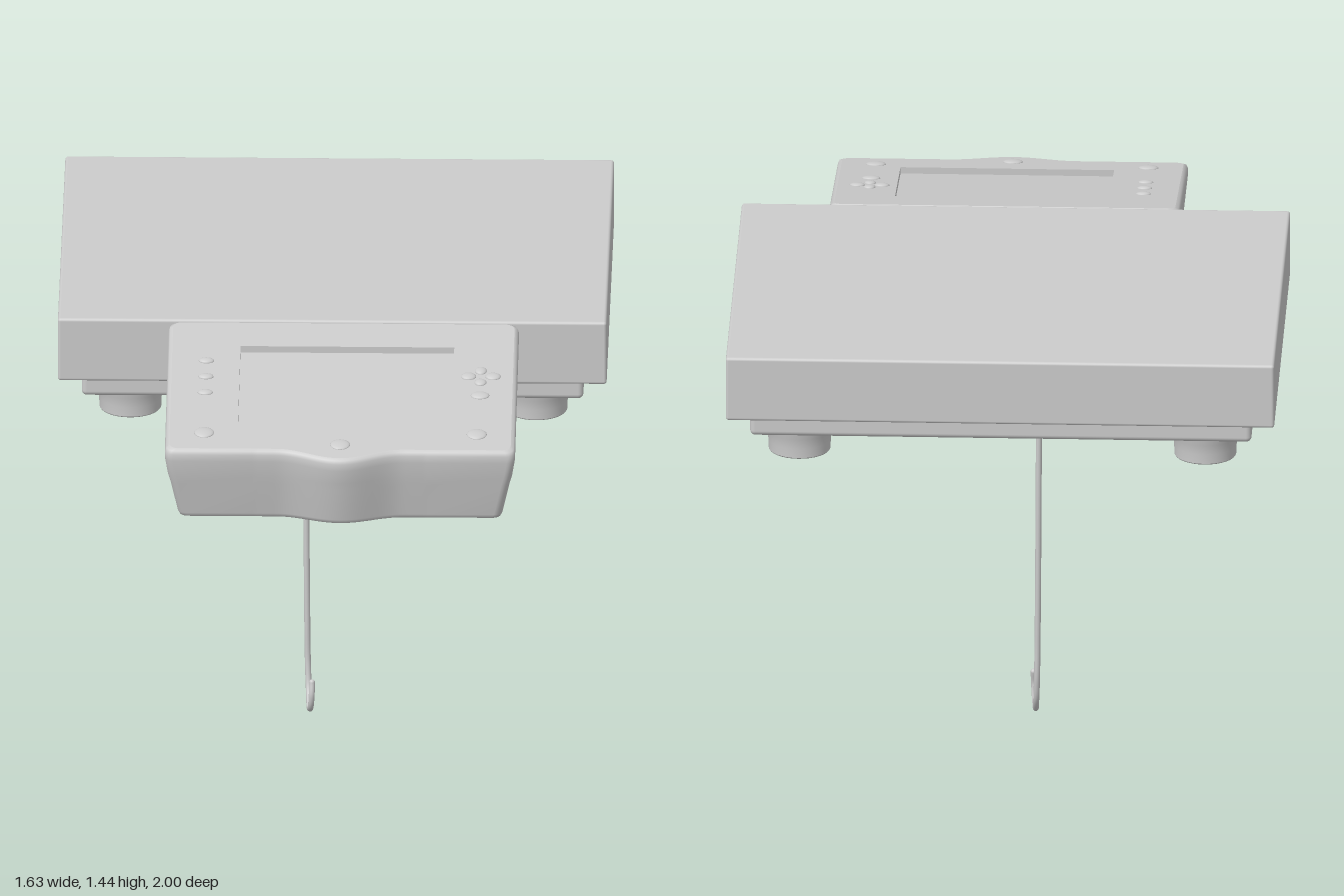
import * as THREE from 'three';
import { RoundedBoxGeometry } from 'three/addons/geometries/RoundedBoxGeometry.js';

const grey = new THREE.MeshStandardMaterial({ color: 0xcccccc });
const greyDouble = new THREE.MeshStandardMaterial({ color: 0xcccccc, side: THREE.DoubleSide });

function add(parent, name, geometry, material = grey) {
  const mesh = new THREE.Mesh(geometry, material);
  mesh.name = name;
  parent.add(mesh);
  return mesh;
}

// Box given by its limits on each axis
function slab(parent, name, [x0, x1], [y0, y1], [z0, z1], radius) {
  const mesh = add(parent, name, new RoundedBoxGeometry(x1 - x0, y1 - y0, z1 - z0, 3, radius));
  mesh.position.set((x0 + x1) / 2, (y0 + y1) / 2, (z0 + z1) / 2);
}

// Console limits and its sloping top plane
const LEFT = -0.485, RIGHT = 0.555, BACK = 0.255, FRONT = 0.947, MID = 0.035;
const SLOPE = 0.18;
const topY = (z) => 1.437 - SLOPE * (z - BACK);

// Console outline seen from above, counter-clockwise, as (x, -z)
function outline(inset) {
  const r = 0.025, pts = [];
  const x0 = LEFT + inset, x1 = RIGHT - inset, s0 = -FRONT + inset, s1 = -BACK - inset * 0.4;
  const corner = (cx, cy, start) => {
    for (let i = 0; i <= 5; i++) {
      const a = start + (i / 5) * Math.PI / 2;
      pts.push(new THREE.Vector2(cx + r * Math.cos(a), cy + r * Math.sin(a)));
    }
  };
  corner(x0 + r, s0 + r, Math.PI);
  // Wavy front edge with a central bulge
  for (let i = 0; i <= 32; i++) {
    const d = -0.26 + (i / 32) * 0.52;
    const bulge = Math.abs(d) < 0.19 ? 0.024 * (1 + Math.cos(Math.PI * d / 0.19)) : 0;
    pts.push(new THREE.Vector2(MID + d, s0 - bulge));
  }
  corner(x1 - r, s0 + r, -Math.PI / 2);
  corner(x1 - r, s1 - r, 0);
  corner(x0 + r, s1 - r, Math.PI / 2);
  return pts;
}

// Side walls lofted through outlines of varying inset
function consoleWalls() {
  const levels = [
    [0.054, () => 1.08], [0.044, () => 1.084], [0.038, () => 1.096],
    [0.016, () => 1.2], [0.009, () => 1.225],
    [0, (z) => topY(z) - 0.035], [0, (z) => topY(z) - 0.014],
    [0.004, (z) => topY(z) - 0.004], [0.013, topY],
  ];
  const position = [], index = [];
  const n = outline(0).length;
  levels.forEach(([inset, height], k) => {
    outline(inset).forEach((p, i) => {
      position.push(p.x, height(-p.y), -p.y);
      if (k === levels.length - 1) return;
      const a = k * n + i, b = k * n + (i + 1) % n;
      index.push(a, b, b + n, a, b + n, a + n);
    });
  });
  const g = new THREE.BufferGeometry();
  g.setAttribute('position', new THREE.Float32BufferAttribute(position, 3));
  g.setIndex(index);
  g.computeVertexNormals();
  return g;
}

// Lay a flat shape onto the sloping top plane, lowered by a depth
function onSlope(geometry, depth = 0) {
  geometry.rotateX(-Math.PI / 2);
  const p = geometry.attributes.position;
  for (let i = 0; i < p.count; i++) p.setY(i, topY(p.getZ(i)) - depth);
  geometry.computeVertexNormals();
  return geometry;
}

function buildConsole() {
  const group = new THREE.Group();
  group.name = 'console';
  add(group, 'consoleWalls', consoleWalls());
  add(group, 'consoleBottom', new THREE.ShapeGeometry(new THREE.Shape(outline(0.054)))
    .rotateX(-Math.PI / 2).translate(0, 1.08, 0), greyDouble);

  // Top panel with the display opening
  const opening = [[-0.27, -0.81], [0.365, -0.81], [0.365, -0.385], [-0.27, -0.385]]
    .map(([x, y]) => new THREE.Vector2(x, y));
  const panel = new THREE.Shape(outline(0.013));
  panel.holes.push(new THREE.Path([...opening].reverse()));
  add(group, 'topPanel', onSlope(new THREE.ShapeGeometry(panel)));

  // Recessed display
  const depth = 0.02;
  add(group, 'display', onSlope(new THREE.ShapeGeometry(new THREE.Shape(opening)), depth));
  const rim = [];
  opening.forEach((a, i) => {
    const b = opening[(i + 1) % 4];
    const A = [a.x, topY(-a.y), -a.y], B = [b.x, topY(-b.y), -b.y];
    const C = [B[0], B[1] - depth, B[2]], D = [A[0], A[1] - depth, A[2]];
    rim.push(...A, ...B, ...C, ...A, ...C, ...D);
  });
  const rimGeometry = new THREE.BufferGeometry();
  rimGeometry.setAttribute('position', new THREE.Float32BufferAttribute(rim, 3));
  rimGeometry.computeVertexNormals();
  add(group, 'displayRim', rimGeometry, greyDouble);

  // Domed buttons: x, z, half width, half depth
  const buttons = [
    [-0.37, 0.465, 0.023, 0.015], [-0.37, 0.55, 0.023, 0.015], [-0.37, 0.635, 0.023, 0.015],
    [-0.37, 0.85, 0.03, 0.028], [MID, 0.91, 0.03, 0.028], [0.44, 0.85, 0.03, 0.028],
    [0.41, 0.54, 0.023, 0.019], [0.483, 0.54, 0.023, 0.019],
    [0.446, 0.51, 0.018, 0.02], [0.446, 0.572, 0.018, 0.018], [0.446, 0.642, 0.028, 0.02],
  ];
  const dome = new THREE.SphereGeometry(1, 20, 6, 0, Math.PI * 2, 0, Math.PI / 2);
  for (const [x, z, w, d] of buttons) {
    const button = add(group, 'button', dome);
    button.scale.set(w, 0.008, d);
    button.position.set(x, topY(z), z);
    button.rotation.x = Math.atan(SLOPE);
  }
  return group;
}

export function createModel() {
  const model = new THREE.Group();
  model.name = 'platformScale';

  slab(model, 'weighingPlatform', [-0.815, 0.815], [1.24, 1.44], [-1, 0.25], 0.009);
  slab(model, 'base', [-0.745, 0.745], [1.17, 1.25], [-0.945, 0.2], 0.016);

  // Four flared feet
  const footProfile = [[0, 1.078], [0.09, 1.078], [0.092, 1.081], [0.092, 1.081], [0.093, 1.11],
    [0.097, 1.14], [0.105, 1.162], [0.105, 1.175]].map(([r, y]) => new THREE.Vector2(r, y));
  const footGeometry = new THREE.LatheGeometry(footProfile, 32);
  for (const x of [-0.603, 0.603]) {
    for (const z of [0.05, -0.8]) add(model, 'foot', footGeometry).position.set(x, 0, z);
  }

  model.add(buildConsole());

  // Weighing hook hanging below the base
  const hookPath = new THREE.CatmullRomCurve3([
    [-0.09, 1.18, -0.272], [-0.088, 1.155, -0.26], [-0.088, 1.1, -0.258], [-0.086, 0.65, -0.256],
    [-0.083, 0.25, -0.252], [-0.081, 0.12, -0.248], [-0.078, 0.05, -0.228], [-0.075, 0.011, -0.183],
    [-0.071, 0.03, -0.146], [-0.068, 0.07, -0.133], [-0.067, 0.11, -0.141],
  ].map((p) => new THREE.Vector3(...p)));
  add(model, 'hook', new THREE.TubeGeometry(hookPath, 120, 0.009, 10));
  const tip = add(model, 'hookTip', new THREE.SphereGeometry(0.009, 10, 8));
  tip.position.copy(hookPath.getPoint(1));

  return model;
}
